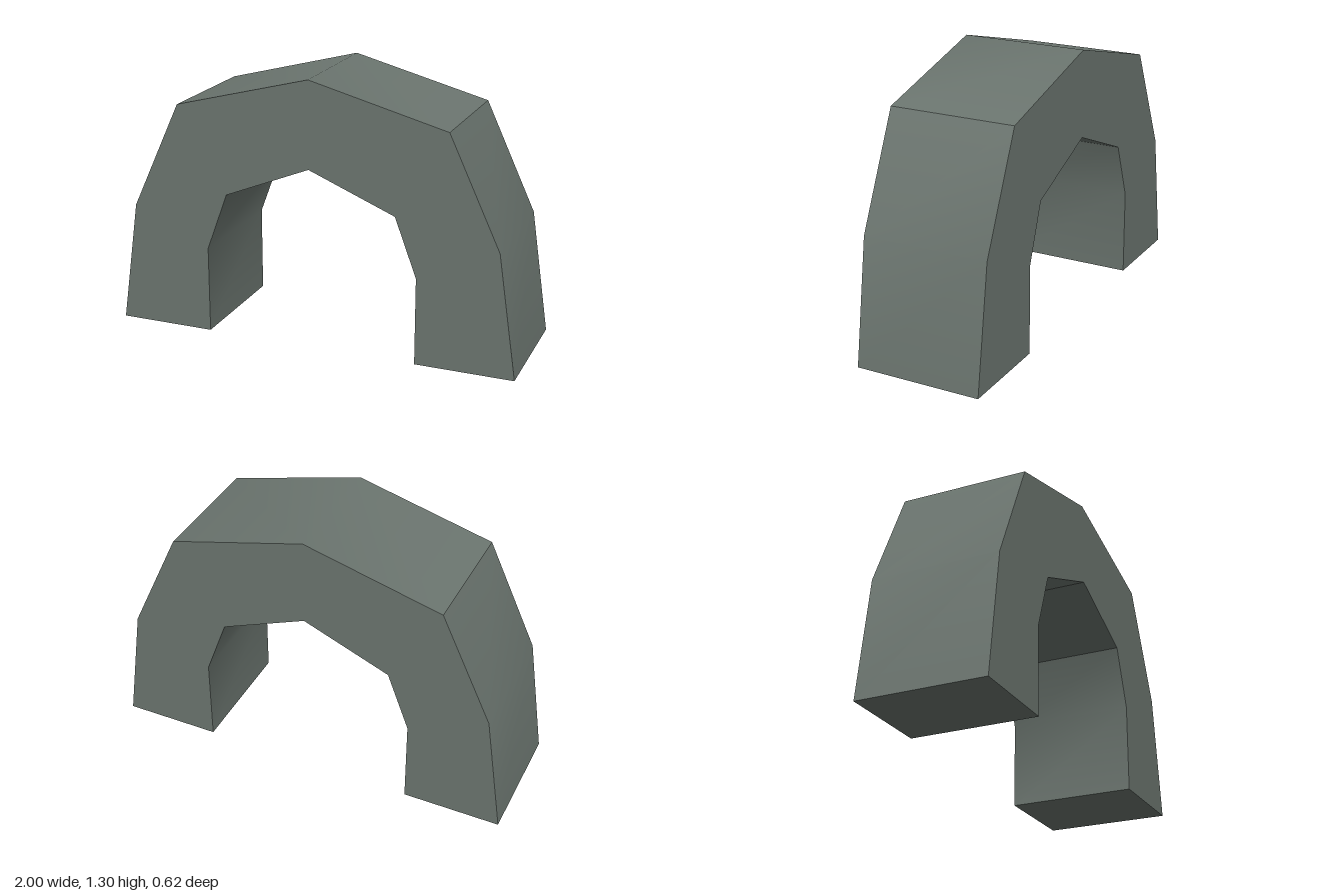
import * as THREE from 'three';
import { toCreasedNormals } from 'three/addons/utils/BufferGeometryUtils.js';

const DEPTH = 0.615;

// Half profile on +x: outer edge from foot to crown, then inner edge from crown to foot
const OUTER = [[1, 0], [0.91, 0.6], [0.665, 1.125]];
const OUTER_CROWN = [0, 1.3];
const INNER = [[0.525, 0], [0.525, 0.425], [0.42, 0.708]];
const INNER_CROWN = [0, 0.88];

const mirror = (points) => points.map(([x, y]) => [-x, y]).reverse();

export function createModel() {
  const stone = new THREE.MeshStandardMaterial({ color: 0x6b756f });
  stone.name = 'greyGreenStone';

  // Arch outline: over the outside, then back along the opening
  const outline = [
    ...OUTER, OUTER_CROWN, ...mirror(OUTER),
    ...[...INNER, INNER_CROWN, ...mirror(INNER)].reverse(),
  ].map(([x, y]) => new THREE.Vector2(x, y));

  const block = new THREE.ExtrudeGeometry(new THREE.Shape(outline), {
    depth: DEPTH, bevelEnabled: false,
  });
  block.translate(0, 0, -DEPTH / 2);

  // Shallow bends shade smoothly, steeper ones stay sharp
  const arch = new THREE.Mesh(toCreasedNormals(block, THREE.MathUtils.degToRad(38)), stone);
  arch.name = 'arch';

  const group = new THREE.Group();
  group.name = 'archBlock';
  group.add(arch);
  return group;
}
